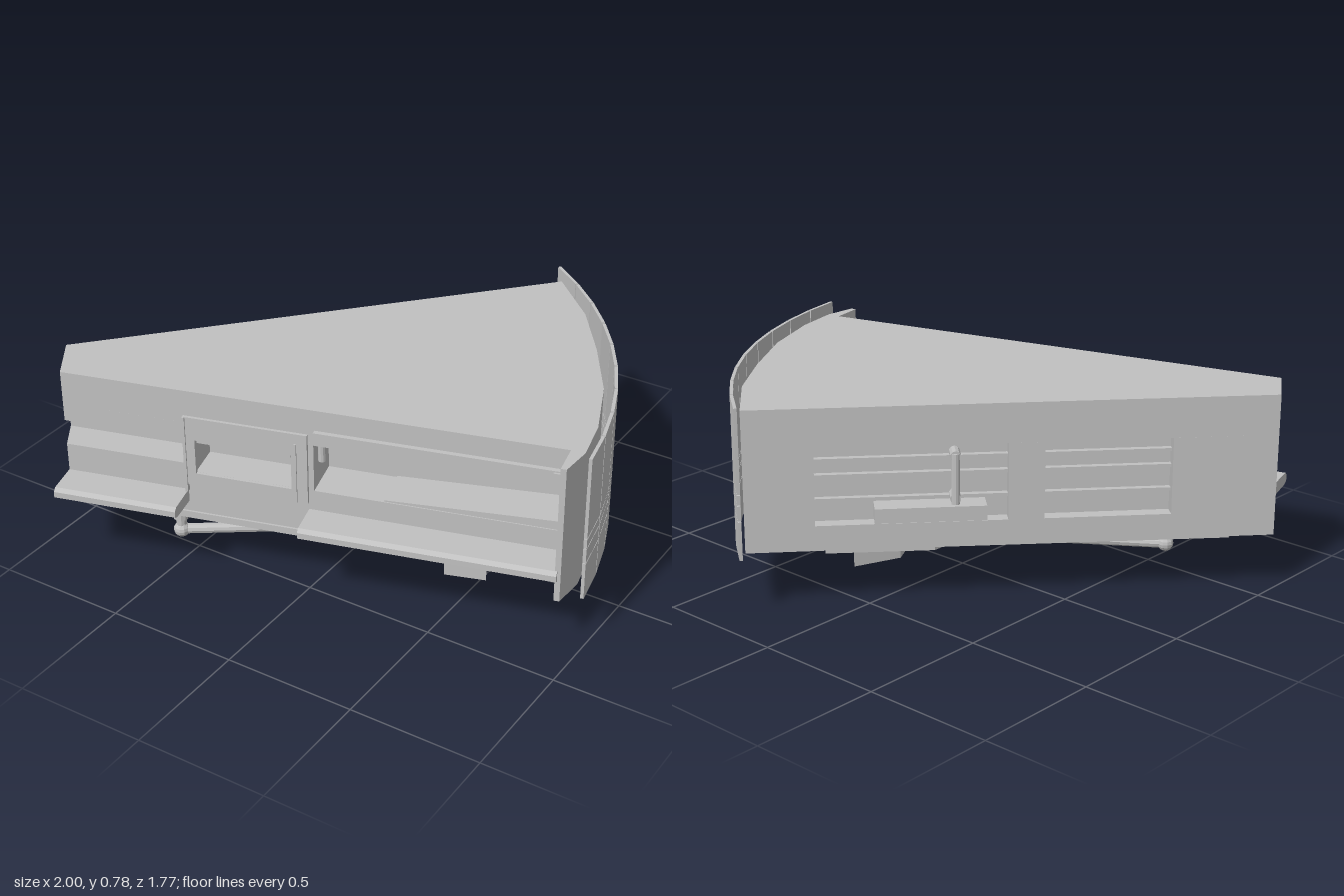
import * as THREE from 'three';

const grey = new THREE.MeshStandardMaterial({ color: 0xc0c0c0, flatShading: true });
grey.name = 'light grey';

function add(parent, name, geometry, x = 0, y = 0, z = 0) {
  const mesh = new THREE.Mesh(geometry, grey);
  mesh.name = name;
  mesh.position.set(x, y, z);
  parent.add(mesh);
  return mesh;
}

// Box given by its minimum and maximum corners
function box(parent, name, [x0, y0, z0], [x1, y1, z1]) {
  return add(parent, name, new THREE.BoxGeometry(x1 - x0, y1 - y0, z1 - z0),
    (x0 + x1) / 2, (y0 + y1) / 2, (z0 + z1) / 2);
}

// Upright prism from a plan of [x, z] points
function prism(parent, name, plan, y0, y1) {
  const shape = new THREE.Shape(plan.map(([x, z]) => new THREE.Vector2(x, -z)));
  const geo = new THREE.ExtrudeGeometry(shape, { depth: y1 - y0, bevelEnabled: false });
  return add(parent, name, geo.rotateX(-Math.PI / 2), 0, y0, 0);
}

// Plate with a rectangular opening, in its own xy plane
function frame(parent, name, [x0, y0, x1, y1], [a0, b0, a1, b1], z, depth) {
  const rect = (C, l, b, r, t) => new C([[l, b], [r, b], [r, t], [l, t]].map(p => new THREE.Vector2(...p)));
  const shape = rect(THREE.Shape, x0, y0, x1, y1);
  shape.holes.push(rect(THREE.Path, a0, b0, a1, b1));
  return add(parent, name, new THREE.ExtrudeGeometry(shape, { depth, bevelEnabled: false }), 0, 0, z);
}

function rod(parent, name, a, b, r) {
  const p = new THREE.Vector3(...a), q = new THREE.Vector3(...b), d = q.clone().sub(p);
  const mesh = add(parent, name, new THREE.CylinderGeometry(r, r, d.length(), 10));
  mesh.position.copy(p).add(q).multiplyScalar(0.5);
  mesh.quaternion.setFromUnitVectors(new THREE.Vector3(0, 1, 0), d.normalize());
  return mesh;
}

// The two long walls: origin, and yaw that turns local +z outwards
const FRONT = { x: -0.89, z: 0.745, yaw: 0.276 };
const BACK = { x: 0.29, z: -0.83, yaw: -2.312 };
const onWall = (w, u, d) => [
  w.x + u * Math.cos(w.yaw) + d * Math.sin(w.yaw),
  w.z - u * Math.sin(w.yaw) + d * Math.cos(w.yaw)];

const LEFT_BAY = [0, 0.468, 0.12], WINDOW = [0.5, 0.87, 0.14], RIGHT_BAY = [0.945, 1.83, 0.17];
const BACK_BAYS = [[0.25, 0.94, 0.05], [1.07, 1.53, 0.05]];

function bodyPlan(frontBays, backBays) {
  const cut = (wall, bays) => bays.flatMap(([u0, u1, d]) => [
    ...(u0 === 0 ? [onWall(wall, -0.038, -d)] : [onWall(wall, u0, 0), onWall(wall, u0, -d)]),
    onWall(wall, u1, -d), onWall(wall, u1, 0)]);
  return [
    [-1, 0.58],
    ...(frontBays[0] === LEFT_BAY ? [] : [[-0.89, 0.745]]),
    ...cut(FRONT, frontBays),
    [0.89, 0.24], [0.915, 0.36], [0.935, 0.355],
    [0.94, 0.23], [0.9, 0.06], [0.8, -0.18], [0.65, -0.42], [0.49, -0.64], [0.29, -0.83],
    ...cut(BACK, backBays),
  ];
}

export function createModel() {
  const model = new THREE.Group();
  model.name = 'wedgeModule';

  // Wedge body, stacked in levels so the bays are really hollow
  const body = new THREE.Group();
  body.name = 'body';
  model.add(body);
  [
    ['lowerWall', 0.215, 0.31, [], []],
    ['sillLevel', 0.31, 0.42, [], BACK_BAYS],
    ['bayFloorLevel', 0.42, 0.45, [WINDOW, RIGHT_BAY], BACK_BAYS],
    ['bayLevel', 0.45, 0.55, [LEFT_BAY, WINDOW, RIGHT_BAY], BACK_BAYS],
    ['bayTopLevel', 0.55, 0.6, [RIGHT_BAY], BACK_BAYS],
    ['lintel', 0.6, 0.62, [RIGHT_BAY], []],
    ['roof', 0.62, 0.75, [], []],
  ].forEach(([name, y0, y1, f, b]) => prism(body, name, bodyPlan(f, b), y0, y1));

  // Stepped base below the body
  prism(model, 'baseUpperStep', [[-0.88, 0.57], [-0.83, 0.67], [0.79, 0.22], [0.81, 0.12],
    [0.7, -0.15], [0.5, -0.46], [0.28, -0.65]], 0.195, 0.216);
  prism(model, 'baseLowerStep', [[-0.82, 0.56], [-0.79, 0.635], [0.8, 0.18], [0.78, 0.1],
    [0.66, -0.16], [0.46, -0.45], [0.27, -0.61]], 0.16, 0.196);

  // Underslung housings
  prism(model, 'upperHousing', [[0.05, 0.28], [0.63, 0.12], [0.33, -0.4], [0.05, -0.1]], 0.07, 0.161);
  prism(model, 'lowerHousing', [[0.37, 0.17], [0.52, 0.12], [0.28, -0.3], [0.21, -0.12]], 0, 0.071);
  prism(model, 'housingBracket', [[-0.1, 0.22], [0.06, 0.25], [0.06, 0.14], [-0.06, 0.1]], 0.14, 0.161);

  // Handle-like pipe under the base
  const pipe = new THREE.Group();
  pipe.name = 'pipe';
  model.add(pipe);
  const ends = [[-0.555, 0.53], [-0.025, 0.165]];
  rod(pipe, 'pipeRun', [ends[0][0], 0.075, ends[0][1]], [ends[1][0], 0.075, ends[1][1]], 0.02);
  for (const [x, z] of ends) {
    rod(pipe, 'pipeRiser', [x, 0.075, z], [x, 0.165, z], 0.02);
    add(pipe, 'pipeElbow', new THREE.SphereGeometry(0.031, 10, 8), x, 0.075, z);
    rod(pipe, 'pipeCollar', [x, 0.125, z], [x, 0.15, z], 0.028);
  }

  // Front wall details
  const front = new THREE.Group();
  front.name = 'frontDetails';
  front.position.set(FRONT.x, 0, FRONT.z);
  front.rotation.y = FRONT.yaw;
  model.add(front);
  for (const [u0, u1] of [[0, 0.468], [0.925, 1.85]]) {
    const profile = new THREE.Shape([[-0.01, 0.29], [0.12, 0.295], [0.14, 0.305], [0.14, 0.328], [0.125, 0.34], [-0.01, 0.34]]
      .map(p => new THREE.Vector2(...p)));
    const geo = new THREE.ExtrudeGeometry(profile, { depth: u1 - u0, bevelEnabled: false });
    add(front, 'ledge', geo.rotateY(-Math.PI / 2), u1, 0, 0);
  }
  frame(front, 'windowFrame', [0.468, 0.37, 0.925, 0.65], [0.505, 0.42, 0.865, 0.56], 0, 0.012);
  box(front, 'windowPost', [0.462, 0.34, 0], [0.472, 0.65, 0.018]);
  box(front, 'windowPost', [0.878, 0.37, 0], [0.886, 0.61, 0.018]);
  box(front, 'windowHood', [0.51, 0.545, -0.1], [0.86, 0.57, 0.004]);
  for (const u of [0.63, 0.76]) frame(front, 'innerPanel', [u, 0.47, u + 0.1, 0.54], [u + 0.015, 0.485, u + 0.085, 0.525], -0.145, 0.02);
  box(front, 'rail', [0.95, 0.62, -0.01], [1.83, 0.67, 0.018]);
  box(front, 'railEnd', [1.8, 0.625, 0], [1.825, 0.665, 0.026]);
  rod(front, 'hangingPeg', [0.97, 0.54, -0.02], [0.97, 0.63, -0.02], 0.014);
  box(front, 'lowerRail', [0.01, 0.235, -0.01], [1.84, 0.248, 0.008]);
  // Sloping slab on the floor of the right bay
  const slab = new THREE.Shape([[1.2, 0.415], [1.83, 0.415], [1.83, 0.455], [1.2, 0.425]].map(p => new THREE.Vector2(...p)));
  add(front, 'slopingSill', new THREE.ExtrudeGeometry(slab, { depth: 0.165, bevelEnabled: false }), 0, 0, -0.17);

  // Back wall details
  const back = new THREE.Group();
  back.name = 'backDetails';
  back.position.set(BACK.x, 0, BACK.z);
  back.rotation.y = BACK.yaw;
  model.add(back);
  for (const [u0, u1, d] of BACK_BAYS) {
    for (const y of [0.39, 0.48, 0.54]) box(back, 'bayRib', [u0, y, -d - 0.005], [u1, y + 0.012, -d + 0.022]);
  }
  box(back, 'shelf', [0.46, 0.325, -0.05], [0.86, 0.38, 0.035]);
  rod(back, 'shelfPipe', [0.75, 0.37, 0.005], [0.75, 0.57, 0.005], 0.016);
  for (const y of [0.4, 0.56]) rod(back, 'pipeMount', [0.75, y, -0.055], [0.75, y, 0.012], 0.02);

  // Curved outer skin of nine flat panels, split by thin horizontal seams
  const skin = new THREE.Group();
  skin.name = 'outerSkin';
  model.add(skin);
  const start = 0.148, step = 0.0915, radius = 1.75;
  for (let i = 0; i < 9; i++) {
    const a = start + (i + 0.5) * step;
    const panel = new THREE.Group();
    panel.name = 'skinPanel';
    panel.position.set(-0.74 + radius * Math.cos(a), 0, 0.56 - radius * Math.sin(a));
    panel.rotation.y = a;
    skin.add(panel);
    for (const [y0, y1] of [[0.215, 0.36], [0.364, 0.42], [0.424, 0.46], [0.464, 0.78]]) {
      box(panel, 'panelStrip', [-0.006, y0, -0.077], [0.006, y1, 0.077]);
    }
  }
  return model;
}
